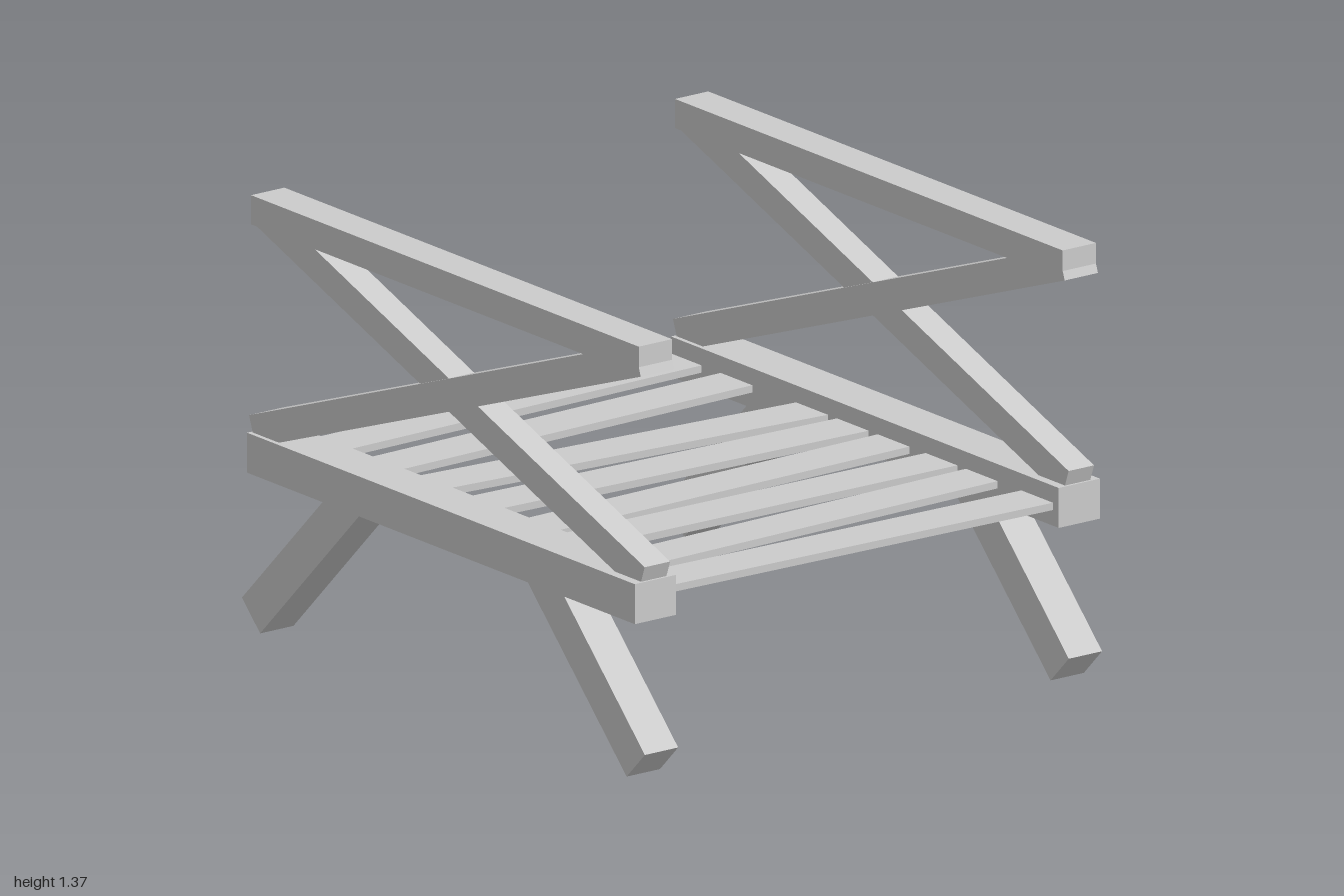
import * as THREE from 'three';

export function createModel() {
  const group = new THREE.Group();
  const material = new THREE.MeshStandardMaterial({ color: 0xcccccc, flatShading: true });

  // A straight beam: size, centre, and tilt about x and y
  function beam(name, size, position, tiltX = 0, turnY = 0) {
    const mesh = new THREE.Mesh(new THREE.BoxGeometry(...size), material);
    mesh.name = name;
    mesh.position.set(...position);
    mesh.rotation.set(tiltX, turnY, 0);
    group.add(mesh);
  }

  const midZ = 0.0075;
  const braceTilt = THREE.MathUtils.degToRad(20);

  for (const [side, s] of [['left', 1], ['right', -1]]) {
    const x = s * 0.802;

    // Seat rail and armrest
    beam(`${side}SeatRail`, [0.156, 0.126, 1.925], [x, 0.562, midZ]);
    beam(`${side}Armrest`, [0.126, 0.092, 1.925], [x, 1.325, midZ]);

    // Crossed braces, the one rising to the back being slimmer
    beam(`${side}BraceRisingToBack`, [0.096, 0.098, 2.034], [x, 0.977, midZ], braceTilt);
    beam(`${side}BraceRisingToFront`, [0.126, 0.098, 2.034], [x, 0.977, midZ], -braceTilt);

    // Splayed legs, their tops buried in the rail
    const length = 0.72;
    const reach = (length / 2) * Math.SQRT1_2;
    for (const [end, e] of [['front', 1], ['back', -1]]) {
      beam(`${side}${end === 'front' ? 'Front' : 'Back'}Leg`, [0.126, 0.128, length],
        [x, 0.046 + reach, e * (0.955 - reach)], e * Math.PI / 4);
    }
  }

  // Uneven seat slats: centre z at the right rail and at the left rail
  const slats = [
    [-0.848, -0.882], [-0.59, -0.63], [-0.362, -0.255], [-0.1, -0.052],
    [0.185, 0.15], [0.37, 0.388], [0.63, 0.588], [0.828, 0.863],
  ];
  slats.forEach(([zRight, zLeft], i) => {
    const turn = -Math.atan2(zLeft - zRight, 1.445);
    beam(`seatSlat${i + 1}`, [1.6, 0.023, 0.157], [0, 0.56, (zRight + zLeft) / 2], 0, turn);
  });

  return group;
}
